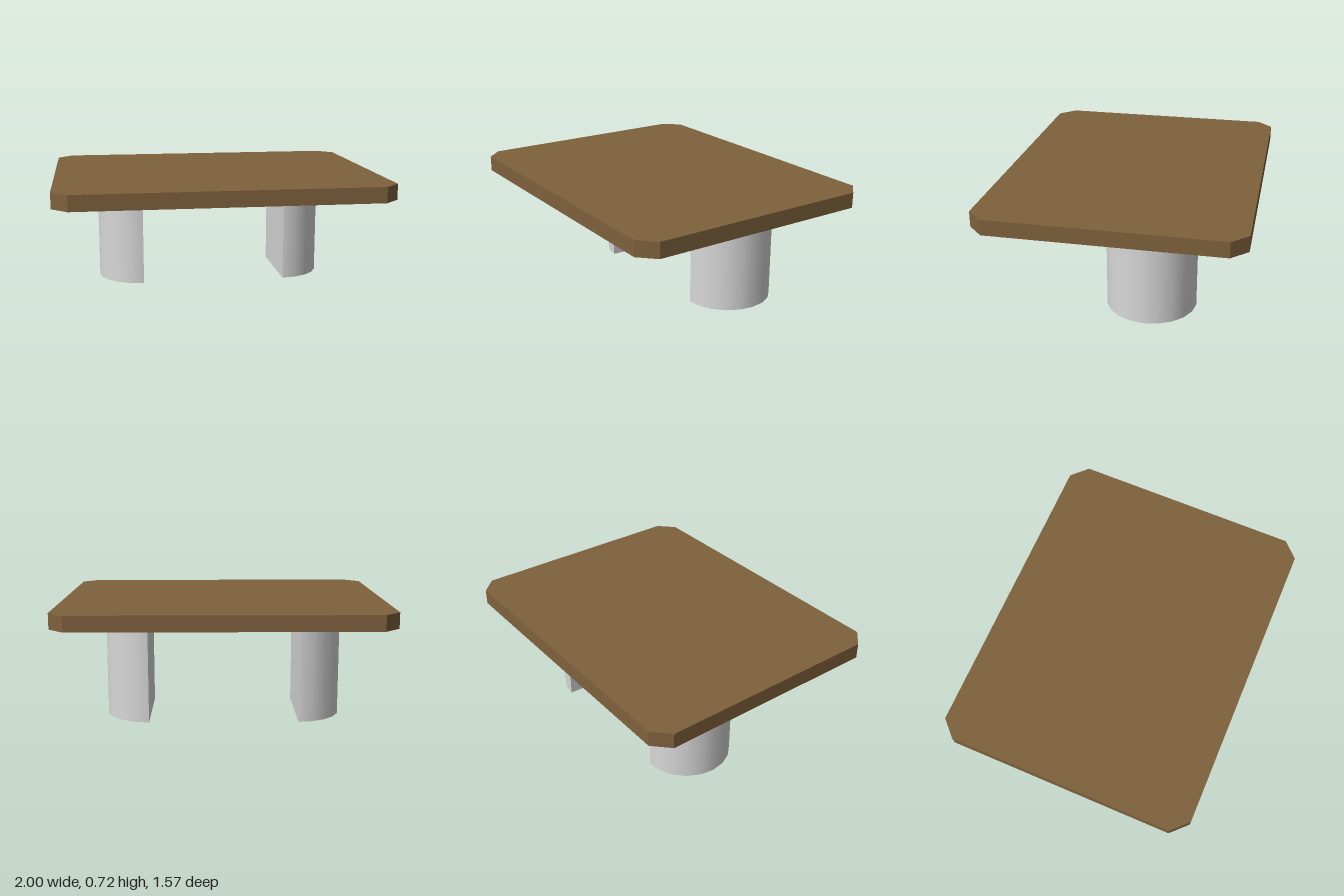
import * as THREE from 'three';

export function createModel() {
  const wood = new THREE.MeshStandardMaterial({ color: 0x7f613d });
  wood.name = 'brown wood';
  const grey = new THREE.MeshStandardMaterial({ color: 0xd8d8d8 });
  grey.name = 'light grey';

  const model = new THREE.Group();
  model.name = 'table';

  // Table top: rectangle with cut corners
  const w = 1, d = 0.785, cut = 0.095, legHeight = 0.623, thickness = 0.095;
  const outline = new THREE.Shape([
    [w, d - cut], [w - cut, d], [cut - w, d], [-w, d - cut],
    [-w, cut - d], [cut - w, -d], [w - cut, -d], [w, cut - d],
  ].map(([x, y]) => new THREE.Vector2(x, y)));
  const topGeometry = new THREE.ExtrudeGeometry(outline, { depth: thickness, bevelEnabled: false });
  topGeometry.rotateX(-Math.PI / 2);
  const top = new THREE.Mesh(topGeometry, wood);
  top.name = 'tableTop';
  top.position.y = legHeight;
  model.add(top);

  // Half-round legs: curved side outward, flat side inward
  const radius = 0.277;
  const curveGeometry = new THREE.CylinderGeometry(radius, radius, legHeight, 10, 1, false, 0, Math.PI);
  const flatGeometry = new THREE.PlaneGeometry(radius * 2, legHeight).rotateY(-Math.PI / 2);
  for (const side of [1, -1]) {
    const leg = new THREE.Group();
    leg.name = side > 0 ? 'leftLeg' : 'rightLeg';
    const curve = new THREE.Mesh(curveGeometry, grey);
    curve.name = 'legCurve';
    const flat = new THREE.Mesh(flatGeometry, grey);
    flat.name = 'legFlatSide';
    leg.add(curve, flat);
    leg.position.set(side * 0.457, legHeight / 2, -0.178);
    leg.rotation.y = side > 0 ? 0 : Math.PI;
    model.add(leg);
  }
  return model;
}
